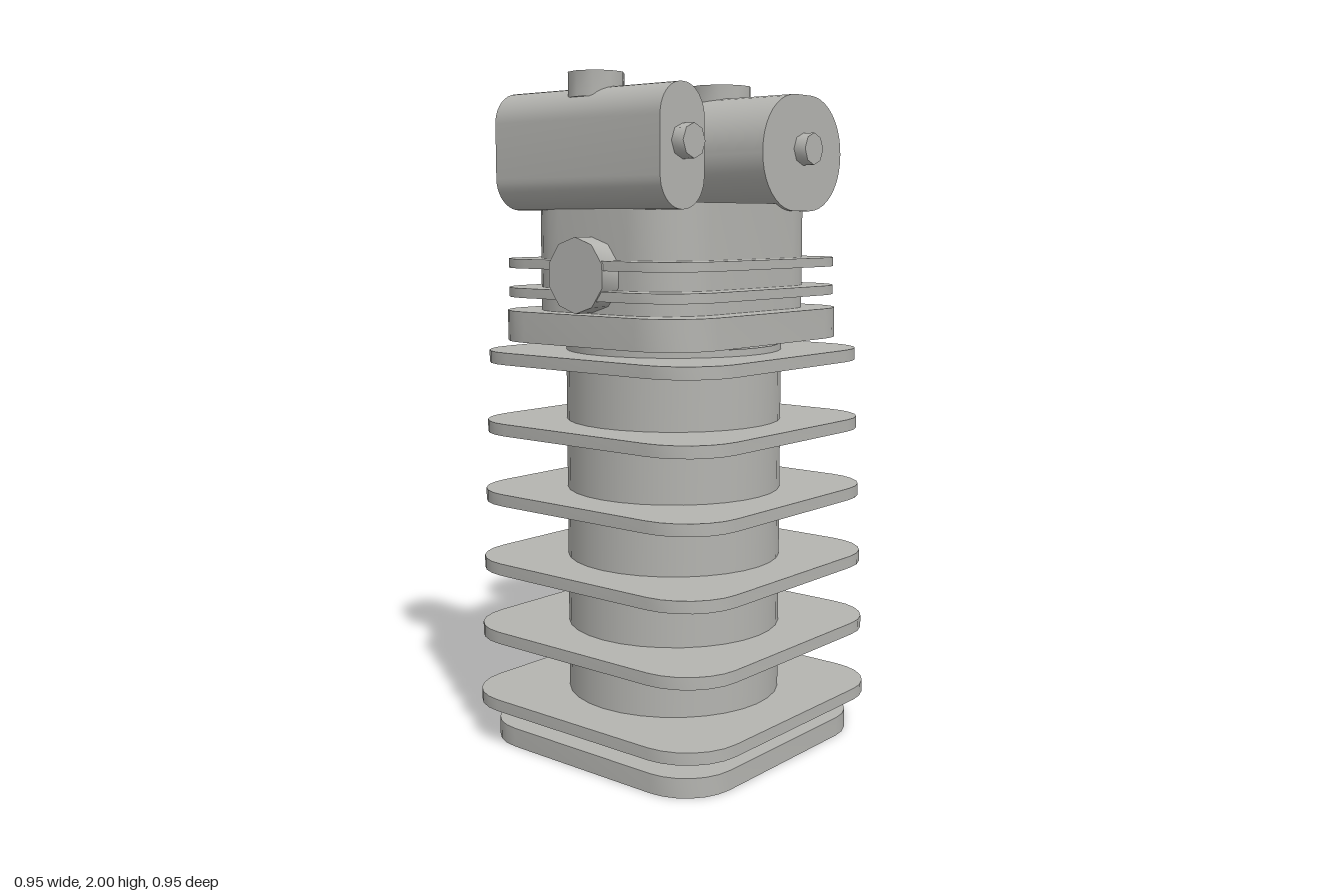
import * as THREE from 'three';
import { toCreasedNormals } from 'three/addons/utils/BufferGeometryUtils.js';

const metal = new THREE.MeshStandardMaterial({ color: 0xb4b4b0 });
metal.name = 'castMetal';

// Rounded rectangle outline, half width a, half height b, corner radius r
function roundedRect(a, b, r) {
  const s = new THREE.Shape();
  const q = Math.PI / 2;
  s.absarc(a - r, b - r, r, 0, q);
  s.absarc(r - a, b - r, r, q, 2 * q);
  s.absarc(r - a, r - b, r, 2 * q, 3 * q);
  s.absarc(a - r, r - b, r, 3 * q, 4 * q);
  s.closePath();
  return s;
}

export function createModel() {
  const model = new THREE.Group();
  model.name = 'finnedCylinder';

  const add = (name, geometry, x = 0, y = 0, z = 0) => {
    const mesh = new THREE.Mesh(toCreasedNormals(geometry, 0.85), metal);
    mesh.name = name;
    mesh.position.set(x, y, z);
    model.add(mesh);
  };

  // Horizontal slab with rounded corners between two heights
  const slab = (name, a, b, r, y0, y1) => {
    const g = new THREE.ExtrudeGeometry(roundedRect(a, b, r),
      { depth: y1 - y0, bevelEnabled: false, curveSegments: 3 });
    add(name, g.rotateX(-Math.PI / 2), 0, y0, 0);
  };

  // Upright round part between two heights
  const post = (name, r, x, y0, y1, sides) => {
    const g = new THREE.CylinderGeometry(r, r, y1 - y0, sides).rotateY(Math.PI / 2);
    add(name, g, x, (y0 + y1) / 2, 0);
  };

  // Barrel, foot and cooling fins
  slab('foot', 0.432, 0.432, 0.16, 0, 0.058);
  post('barrel', 0.326, 0, 0.03, 1.228, 32);
  for (let i = 0; i < 6; i++) {
    const h = 0.475 - i * 0.006;
    const y = 0.118 + i * 0.2108;
    slab('barrelFin', h, h, 0.175, y, y + 0.036);
  }

  // Cylinder head and its fins
  slab('headBase', 0.425, 0.377, 0.165, 1.24, 1.33);
  slab('headBlock', 0.362, 0.3, 0.17, 1.325, 1.642);
  slab('headFin', 0.425, 0.37, 0.165, 1.37, 1.398);
  slab('headFin', 0.425, 0.37, 0.165, 1.455, 1.482);

  // Side ports
  const port = (name, r, x0, x1, y) => {
    const g = new THREE.CylinderGeometry(r, r, x1 - x0, 10).rotateZ(Math.PI / 2);
    g.rotateX(Math.PI / 2);
    add(name, g, (x0 + x1) / 2, y, 0);
  };
  port('leftPort', 0.137, 0.285, 0.427, 1.372);
  port('rightPort', 0.107, -0.43, -0.3, 1.44);

  // Rocker housings with end bolts and top caps
  const housing = (side, x, a, b, r, capRadius) => {
    const g = new THREE.ExtrudeGeometry(roundedRect(a, b, r),
      { depth: 0.624, bevelEnabled: false, curveSegments: 5 });
    add(side + 'Housing', g, x, 1.79, -0.312);
    for (const s of [-1, 1]) {
      const bolt = new THREE.CylinderGeometry(0.047, 0.047, 0.06, 8);
      add(side + 'Bolt', bolt.rotateX(Math.PI / 2), x, 1.802, s * 0.322);
    }
    post(side + 'Cap', capRadius, x, 1.93, 2, 10);
  };
  housing('left', 0.226, 0.202, 0.17, 0.165, 0.097);
  housing('right', -0.337, 0.093, 0.168, 0.09, 0.08);

  // Upright tube on top of the head
  post('topTube', 0.09, -0.132, 1.6, 1.96, 10);

  return model;
}
